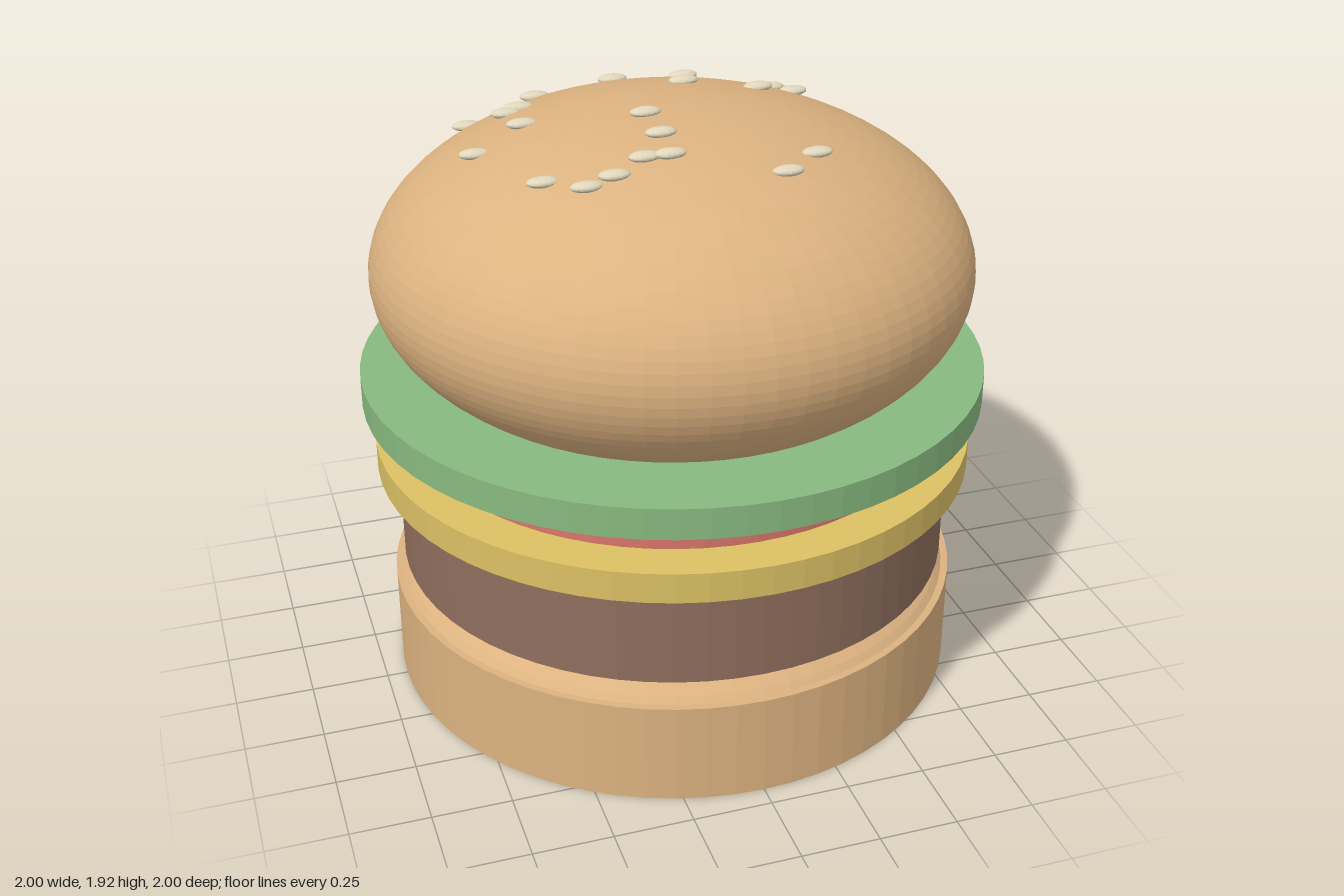
import * as THREE from 'three';

const material = (name, color) => {
  const m = new THREE.MeshStandardMaterial({ color, flatShading: true });
  m.name = name;
  return m;
};

export function createModel() {
  const burger = new THREE.Group();
  burger.name = 'burger';

  const bun = material('bun', 0xdcb280);
  const patty = material('patty', 0x8f6e5d);
  const cheese = material('cheese', 0xdbc064);
  const tomato = material('tomato', 0xd87669);
  const lettuce = material('lettuce', 0x88b97f);
  const seed = material('seed', 0xe0d6bc);

  const add = (name, geometry, mat, x, y, z, parent = burger) => {
    const mesh = new THREE.Mesh(geometry, mat);
    mesh.name = name;
    mesh.position.set(x, y, z);
    parent.add(mesh);
    return mesh;
  };

  // Stacked round layers: name, material, radius, bottom, top
  const layers = [
    ['bottomBun', bun, 0.933, 0, 0.335],
    ['patty', patty, 0.9, 0.41, 0.73],
    ['cheeseSlice', cheese, 0.967, 0.737, 0.835],
    ['tomatoSlice', tomato, 0.833, 0.835, 0.97],
    ['lettuceLeaf', lettuce, 1, 0.97, 1.07],
  ];
  for (const [name, mat, r, y0, y1] of layers) {
    add(name, new THREE.CylinderGeometry(r, r, y1 - y0, 64), mat, 0, (y0 + y1) / 2, 0);
  }

  // Domed upper face of the bottom bun
  const dome = new THREE.SphereGeometry(1, 64, 16, 0, Math.PI * 2, 0, Math.PI / 2);
  dome.scale(0.933, 0.255, 0.933);
  add('bottomBunDome', dome, bun, 0, 0.28, 0);

  // Top bun, sunk into the lettuce
  const R = 0.95, H = 0.51, centreY = 1.39;
  const topBun = new THREE.SphereGeometry(1, 64, 48);
  topBun.scale(R, H, R);
  add('topBun', topBun, bun, 0, centreY, 0);

  // Sesame seeds resting on the top bun, given as x, z
  const seeds = new THREE.Group();
  seeds.name = 'sesameSeeds';
  burger.add(seeds);
  const seedGeometry = new THREE.SphereGeometry(1, 16, 12);
  seedGeometry.scale(0.049, 0.016, 0.028);
  const spots = [
    [-0.53, -0.53], [-0.3, -0.54], [-0.04, -0.52], [0.21, -0.54], [0.18, -0.45],
    [0.51, -0.46], [0.48, -0.435], [0.5, -0.28], [0.35, -0.2], [0.12, -0.26],
    [-0.445, -0.32], [-0.4, -0.34], [-0.44, -0.125], [-0.605, -0.055], [-0.1, 0.05],
    [-0.1, 0.205], [-0.48, 0.285], [-0.375, 0.38], [-0.29, 0.37], [-0.185, 0.32],
    [-0.11, 0.33], [0.335, 0.355], [0.205, 0.46],
  ];
  for (const [x, z] of spots) {
    const y = centreY + H * Math.sqrt(1 - (x * x + z * z) / (R * R)) + 0.006;
    add('sesameSeed', seedGeometry, seed, x, y, z, seeds);
  }

  return burger;
}
